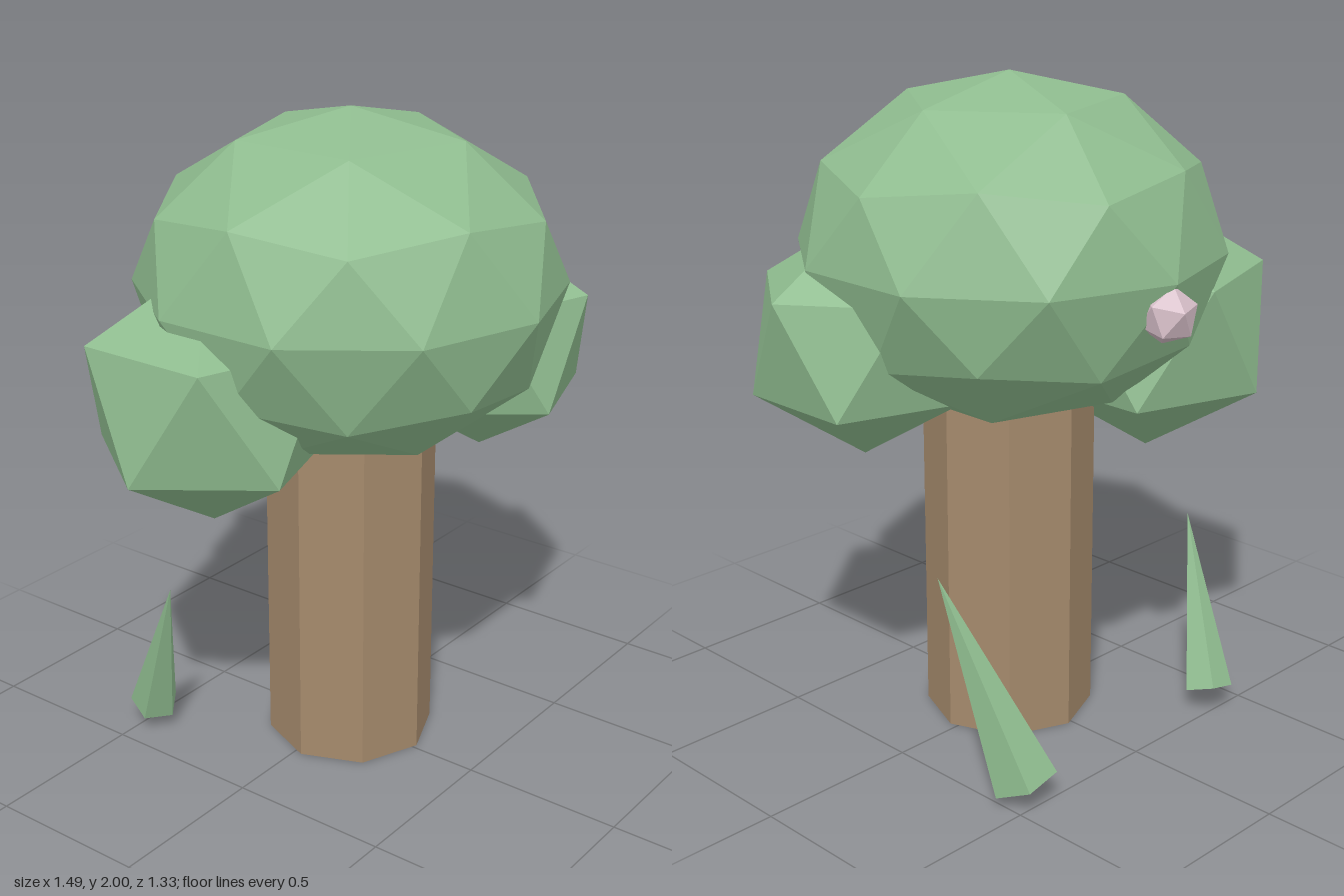
import * as THREE from 'three';

const flat = (name, color) => {
  const m = new THREE.MeshStandardMaterial({ color });
  m.name = name;
  m.flatShading = true;
  return m;
};

// Icosphere turned so that one vertex points straight up
function poleIcosphere(radius, detail) {
  const golden = (1 + Math.sqrt(5)) / 2;
  return new THREE.IcosahedronGeometry(radius, detail).rotateZ(-Math.atan(1 / golden));
}

export function createModel() {
  const model = new THREE.Group();
  model.name = 'tree';
  const leaf = flat('leafGreen', 0x8fbc8f);
  const bark = flat('barkBrown', 0xa58a6c);
  const pink = flat('blossomPink', 0xd6bec8);

  const add = (name, geometry, material, x, y, z) => {
    const mesh = new THREE.Mesh(geometry, material);
    mesh.name = name;
    mesh.position.set(x, y, z);
    model.add(mesh);
    return mesh;
  };

  // Octagonal trunk, running up into the crown
  add('trunk', new THREE.CylinderGeometry(0.26, 0.26, 1.2, 8), bark, 0.015, 0.6, 0.025);

  // Crown, slightly flattened
  add('crown', poleIcosphere(1, 1).scale(0.642, 0.515, 0.642), leaf, 0.015, 1.485, 0.02);

  // Side foliage clumps
  add('leftClump', poleIcosphere(0.36, 0), leaf, 0.42, 1.248, 0.225);
  add('rightClump', poleIcosphere(0.4, 0), leaf, -0.388, 1.21, -0.18);

  // Blossom on the back of the crown
  add('blossom', poleIcosphere(0.087, 0), pink, 0.018, 1.395, -0.592).rotation.x = -0.21;

  // Leaning five-sided grass blades, from base centre to tip
  const blade = (name, radius, base, tip) => {
    const from = new THREE.Vector3(...base);
    const axis = new THREE.Vector3(...tip).sub(from);
    const height = axis.length();
    const geometry = new THREE.ConeGeometry(radius, height, 5).translate(0, height / 2, 0);
    add(name, geometry, leaf, ...base).quaternion.setFromUnitVectors(
      new THREE.Vector3(0, 1, 0), axis.normalize());
  };
  blade('leftBlade', 0.1, [0.43, 0.06, -0.45], [0.56, 0.67, -0.235]);
  blade('rightBlade', 0.077, [-0.37, 0.07, -0.475], [-0.48, 0.577, -0.285]);

  return model;
}
